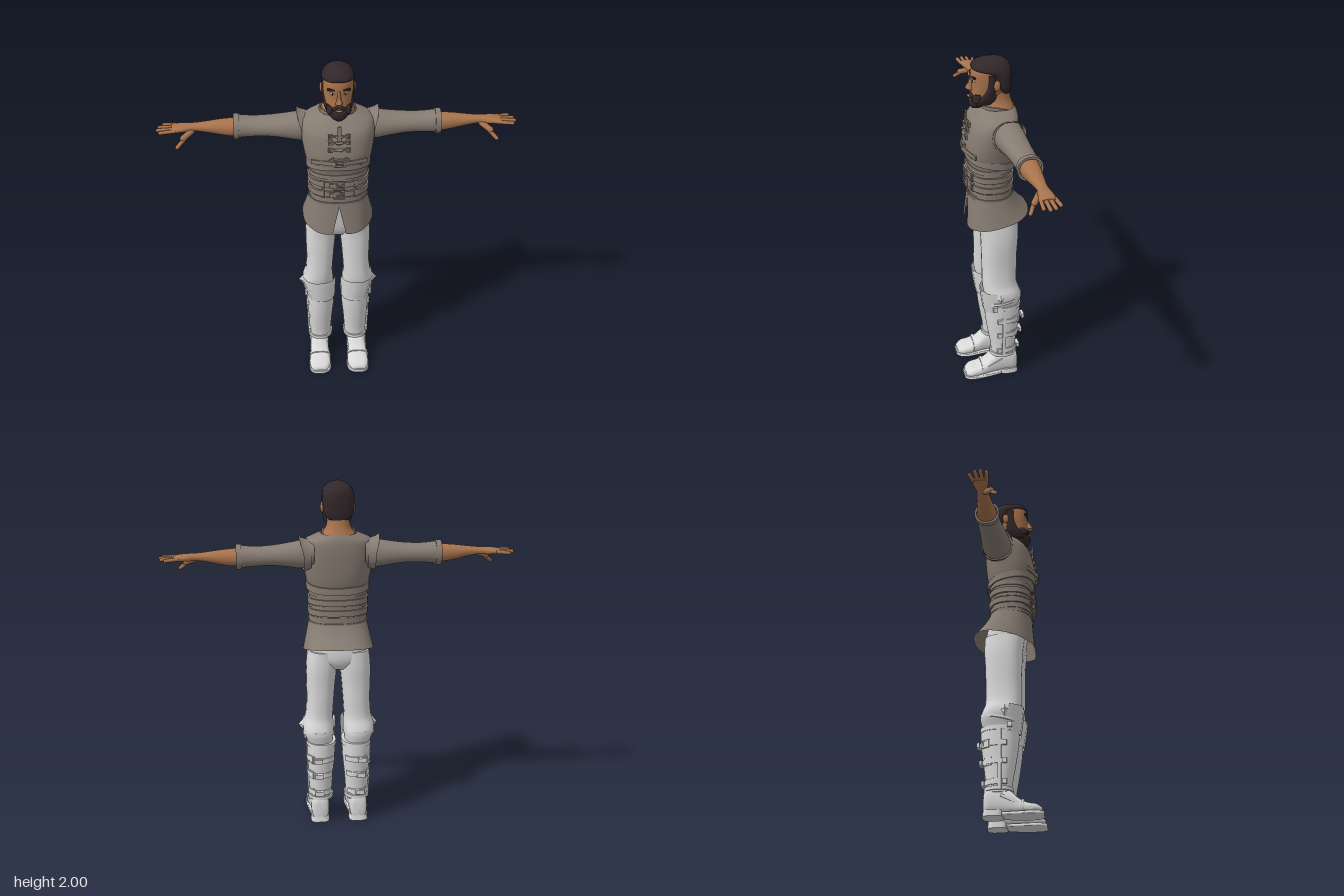
import * as THREE from 'three';
import { toCreasedNormals } from 'three/addons/utils/BufferGeometryUtils.js';

const mat = (name, color, side = THREE.FrontSide) => {
  const m = new THREE.MeshStandardMaterial({ color, side });
  m.name = name;
  return m;
};

// Smooths a list of number rows by Catmull-Rom, k steps per span
function refine(rows, k) {
  if (k < 2) return rows;
  const out = [], at = i => rows[Math.min(rows.length - 1, Math.max(0, i))];
  for (let i = 0; i < rows.length - 1; i++) for (let s = 0; s < k; s++) {
    const t = s / k;
    out.push(at(i).map((b, c) => {
      const a = at(i - 1)[c], d = at(i + 1)[c], e = at(i + 2)[c];
      return b + 0.5 * t * (d - a + t * (2 * a - 5 * b + 4 * d - e + t * (3 * (b - d) + e - a)));
    }));
  }
  out.push(rows.at(-1));
  return out;
}

// Surface through superellipse rings [t, a0, a1, b0, b1]; axis y: a=x b=z, axis x: a=y b=z, axis z: a=x b=y
function loft(axis, rows, { p = 2.2, n = 28, k = 3, cap = true, arc = null, move = null } = {}) {
  const rings = refine(rows, k), pos = [], idx = [], m = arc ? n + 1 : n;
  const put = (t, a, b) => {
    const v = axis === 'y' ? [a, t, b] : axis === 'x' ? [t, a, b] : [a, b, t];
    pos.push(...(move ? move(...v) : v));
  };
  const sp = c => Math.sign(c) * Math.abs(c) ** (2 / p);
  for (const [t, a0, a1, b0, b1] of rings) for (let j = 0; j < m; j++) {
    const th = arc ? arc[0] + (arc[1] - arc[0]) * j / n : j / n * Math.PI * 2;
    put(t, (a0 + a1) / 2 + (a1 - a0) / 2 * sp(Math.cos(th)), (b0 + b1) / 2 + (b1 - b0) / 2 * sp(Math.sin(th)));
  }
  const tri = (a, b, c) => axis === 'y' ? idx.push(a, c, b) : idx.push(a, b, c);
  for (let i = 0; i < rings.length - 1; i++) for (let j = 0; j < n; j++) {
    const a = i * m + j, b = i * m + (j + 1) % m;
    tri(a, b, b + m);
    tri(a, b + m, a + m);
  }
  if (cap && !arc) [0, rings.length - 1].forEach((i, e) => {
    const [t, a0, a1, b0, b1] = rings[i], c = pos.length / 3;
    put(t, (a0 + a1) / 2, (b0 + b1) / 2);
    for (let j = 0; j < n; j++) {
      const a = i * m + j, b = i * m + (j + 1) % m;
      e ? tri(a, b, c) : tri(b, a, c);
    }
  });
  const g = new THREE.BufferGeometry();
  g.setAttribute('position', new THREE.Float32BufferAttribute(pos, 3));
  g.setIndex(idx);
  return toCreasedNormals(g, 0.9);
}

// Symmetric rings [y, half width, back z, front z]
const sym = rows => rows.map(([y, x, z0, z1]) => [y, -x, x, z0, z1]);
// Strap with thickness around one ring
const strap = (y0, y1, [x0, x1, z0, z1], o, opt) => loft('y', [[y0, 0], [y0, o], [y1, o], [y1, 0]]
  .map(([y, d]) => [y, x0 - d, x1 + d, z0 - d, z1 + d]), { k: 1, cap: false, ...opt });
const box = (w, h, d, x, y, z, rz = 0) => new THREE.BoxGeometry(w, h, d).rotateZ(rz).translate(x, y, z);
const ball = (rx, ry, rz, x, y, z) => new THREE.SphereGeometry(1, 16, 12).scale(rx, ry, rz).translate(x, y, z);
// Rounded finger between two points
function finger(a, b, r) {
  const A = new THREE.Vector3(...a), d = new THREE.Vector3(...b).sub(A);
  const q = new THREE.Quaternion().setFromUnitVectors(new THREE.Vector3(0, 1, 0), d.clone().normalize());
  const mid = A.addScaledVector(d, 0.5);
  return new THREE.CapsuleGeometry(r, d.length() - 2 * r, 4, 10).applyQuaternion(q).translate(mid.x, mid.y, mid.z);
}
// Square buckle frame facing +z
function frame(w, h, t = 0.008, d = 0.012) {
  const rect = (o, a, b) => { o.moveTo(-a, -b); o.lineTo(a, -b); o.lineTo(a, b); o.lineTo(-a, b); o.closePath(); return o; };
  const s = rect(new THREE.Shape(), w / 2, h / 2);
  s.holes.push(rect(new THREE.Path(), w / 2 - t, h / 2 - t));
  return new THREE.ExtrudeGeometry(s, { depth: d, bevelEnabled: false });
}
function mirrored(geo) {
  const g = geo.index ? geo.toNonIndexed() : geo.clone();
  g.scale(-1, 1, 1);
  for (const at of Object.values(g.attributes)) {
    const s = at.itemSize, A = at.array;
    for (let i = 0; i < at.count; i += 3) for (let c = 0; c < s; c++) {
      const u = (i + 1) * s + c, v = (i + 2) * s + c;
      [A[u], A[v]] = [A[v], A[u]];
    }
  }
  return g;
}

export function createModel() {
  const root = new THREE.Group();
  root.name = 'man';
  const skin = mat('skin', 0xa8734c), hair = mat('hair', 0x32272a), white = mat('eyeWhite', 0xdfe4ea);
  const cloth = mat('tunic', 0x877c72, THREE.DoubleSide), pale = mat('trousersAndBoots', 0xd9d9d9, THREE.DoubleSide);
  const add = (name, geo, m) => {
    const mesh = new THREE.Mesh(geo, m);
    mesh.name = name;
    root.add(mesh);
  };
  const pair = (name, geo, m) => {
    add(name + 'Left', geo, m);
    add(name + 'Right', mirrored(geo), m);
  };

  // Head and neck
  add('neck', loft('y', sym([[1.66, .12, -.125, .07], [1.71, .1, -.118, .06], [1.75, .07, -.103, .05], [1.8, .06, -.09, .045], [1.85, .058, -.08, .04]])), skin);
  add('head', loft('y', sym([[1.735, .03, .05, .112], [1.755, .052, 0, .118], [1.785, .066, -.04, .12], [1.82, .074, -.07, .117],
    [1.86, .08, -.085, .115], [1.9, .081, -.09, .117], [1.94, .079, -.09, .112], [1.97, .06, -.07, .09], [1.985, .03, -.04, .06]]), { p: 2.3 }), skin);
  add('nose', loft('y', [[1.82, -.014, .014, .1, .126], [1.826, -.02, .02, .1, .143], [1.838, -.015, .015, .1, .147], [1.865, -.009, .009, .1, .131], [1.895, -.01, .01, .1, .118]], { n: 12 }), skin);
  add('lips', ball(.02, .006, .008, 0, 1.785, .13), skin);
  pair('ear', ball(.012, .03, .018, .086, 1.86, -.008), skin);
  pair('eye', ball(.015, .006, .008, .034, 1.88, .107), white);
  pair('iris', ball(.006, .006, .003, .034, 1.88, .114), hair);
  pair('eyebrow', box(.04, .009, .012, .036, 1.902, .111, .12).rotateY(.05), hair);

  // Hair and beard
  add('hair', loft('y', sym([[1.8, .055, -.09, -.04], [1.83, .08, -.096, -.015], [1.88, .087, -.1, .015], [1.92, .088, -.1, .05],
    [1.94, .087, -.099, .108], [1.955, .081, -.094, .116], [1.975, .066, -.077, .1], [1.99, .042, -.05, .07], [2, .012, -.015, .03]]), { p: 2.4 }), hair);
  add('beard', loft('y', sym([[1.715, .018, .07, .112], [1.73, .04, .045, .126], [1.752, .058, .01, .131], [1.772, .069, -.01, .128], [1.78, .069, -.01, .12]])), hair);
  pair('jawBeard', loft('y', [[1.745, .035, .06, .01, .1], [1.78, .045, .076, -.008, .085], [1.81, .05, .082, -.006, .06], [1.85, .055, .087, -.002, .042], [1.92, .06, .088, -.005, .038]], { n: 16 }), hair);
  pair('cheekBeard', loft('y', [[1.765, .025, .066, .06, .12], [1.79, .026, .066, .06, .118], [1.808, .035, .064, .06, .105]], { n: 14 }), hair);
  pair('moustache', finger([.002, 1.806, .124], [.038, 1.788, .112], .0095), hair);

  // Tunic body, skirt and collar
  add('tunicBody', loft('y', sym([[1.18, .163, -.105, .135], [1.3, .16, -.1, .138], [1.4, .163, -.105, .14], [1.44, .175, -.115, .152], [1.5, .187, -.125, .162],
    [1.58, .199, -.132, .15], [1.64, .2, -.134, .132], [1.68, .188, -.132, .1], [1.705, .14, -.126, .08], [1.722, .1, -.118, .065]]), { p: 2.4, n: 40, cap: false }), cloth);
  add('collar', strap(1.705, 1.737, [-.085, .085, -.115, .058], .008, { move: (x, y, z) => [x, y + (z < 0 ? z * .25 : 0), z] }), cloth);
  add('vestHem', strap(1.405, 1.445, [-.173, .173, -.115, .15], .006, { p: 2.4, n: 40, move: (x, y, z) => [x, y + z * .18, z] }), cloth);
  const skirt = [], steps = 6;
  for (let i = 0; i <= steps; i++) {
    const v = i / steps;
    skirt.push([v, -.165 - .035 * v, .165 + .035 * v, -.107 - .093 * v ** 1.2, .138 + .017 * v]);
  }
  add('skirt', loft('y', skirt, {
    k: 1, n: 48, p: 2.4, arc: [Math.PI / 2 + .0001, Math.PI * 2.5 - .0001],
    move: (x, v, z) => {
      const hem = 1.05 - (z > 0 ? z * .26 : z * .2);
      const slit = Math.max(0, v - .15) * .045 * Math.max(0, 1 - Math.abs(x) / .15) * (z > 0 ? 1 : 0);
      return [x + Math.sign(x) * slit, 1.21 + (hem - 1.21) * v, z];
    },
  }).scale(1, 1, 1), cloth);

  // Girdle bands, belts and buckles
  const waist = [-.161, .161, -.103, .139], round = { p: 2.4, n: 40 };
  for (const [y0, y1, o] of [[1.2, 1.215, .006], [1.225, 1.25, .003], [1.258, 1.292, .01], [1.3, 1.315, .003], [1.32, 1.352, .01], [1.37, 1.395, .006]])
    add('girdleBand', strap(y0, y1, waist, o, round), cloth);
  for (const [y, z] of [[1.275, .149], [1.336, .149], [1.487, .16]]) {
    add('buckle', frame(.062, .05).translate(0, y, z), cloth);
    add('bucklePin', box(.04, .008, .012, .005, y, z + .01), cloth);
    if (y < 1.4) {
      pair('beltLoop', frame(.018, .046, .005).rotateY(.3).translate(.088, y, .128), cloth);
      add('beltEnd', box(.07, .026, .01, -.02, y, z + .004), cloth);
    }
  }
  pair('chestStrap', box(.14, .024, .01, 0, 0, 0, -.06).rotateY(.35).translate(.085, 1.485, .151), cloth);
  pair('chestSeam', finger([.03, 1.52, .16], [.12, 1.465, .142], .004), cloth);
  // Front placket with toggles
  add('placket', box(.022, .2, .01, 0, 1.6, .146).rotateX(0), cloth);
  for (const [y, z] of [[1.565, .156], [1.605, .148], [1.638, .14]]) {
    add('toggleCord', box(.1, .009, .01, 0, y, z), cloth);
    pair('toggleEnd', frame(.024, .024, .006).translate(.048, y, z - .006), cloth);
    add('toggle', finger([-.02, y, z + .006], [.02, y, z + .006], .007), cloth);
  }

  // Sleeves, shoulder caps and cuffs
  pair('sleeve', loft('x', [[.14, 1.55, 1.69, -.125, .03], [.2, 1.53, 1.686, -.13, .035], [.27, 1.54, 1.674, -.13, .028], [.36, 1.552, 1.662, -.127, .015],
    [.45, 1.552, 1.658, -.125, .005], [.52, 1.546, 1.664, -.125, .002], [.555, 1.54, 1.67, -.127, .002]], { cap: false }), cloth);
  pair('cuff', loft('x', [[.535, 1.543, 1.667, -.124, .001], [.535, 1.536, 1.673, -.13, .007], [.565, 1.536, 1.673, -.13, .007], [.565, 1.548, 1.661, -.118, -.005]], { k: 1, cap: false }), cloth);
  pair('shoulderCap', loft('x', [[.165, 1.53, 1.69, -.134, .04], [.195, 1.515, 1.7, -.138, .045], [.208, 1.515, 1.712, -.14, .045]],
    { cap: false, move: (x, y, z) => [x + Math.max(0, y - 1.62) * .28 - .01, y, z] }), cloth);

  // Forearms and hands
  pair('forearm', loft('x', [[.5, 1.555, 1.655, -.115, -.01], [.57, 1.553, 1.65, -.113, -.008], [.64, 1.562, 1.645, -.105, -.018], [.72, 1.58, 1.635, -.095, -.026],
    [.78, 1.588, 1.629, -.09, -.032], [.83, 1.586, 1.627, -.098, -.022], [.87, 1.588, 1.622, -.103, -.014], [.9, 1.592, 1.616, -.1, -.014]]), skin);
  [[-.094, -.107, .955], [-.07, -.075, .978], [-.046, -.045, .985], [-.023, -.014, .97]].forEach(([z0, z1, x]) =>
    pair('finger', finger([.87, 1.605, z0], [x, 1.6, z1], .0105), skin));
  pair('thumbBase', finger([.78, 1.598, -.05], [.85, 1.562, .005], .017), skin);
  pair('thumbTip', finger([.825, 1.57, -.008], [.878, 1.523, .028], .011), skin);

  // Trousers
  add('hips', loft('y', sym([[.94, .07, -.09, .06], [.99, .15, -.125, .088], [1.08, .17, -.125, .105], [1.2, .155, -.1, .125]]), { p: 2.5 }), pale);
  pair('trouserLeg', loft('y', [[.46, .035, .175, -.12, .06], [.5, .035, .185, -.13, .065], [.555, .028, .205, -.142, .07], [.6, .028, .205, -.13, .08], [.65, .032, .19, -.115, .085],
    [.75, .026, .183, -.116, .085], [.85, .018, .185, -.118, .087], [.95, .008, .185, -.125, .089], [1.05, .004, .175, -.125, .1]], { p: 2.4 }), pale);
  pair('kneeFold', strap(.53, .545, [.036, .198, -.132, .06], .01, { move: (x, y, z) => [x, y - z * .2, z] }), pale);

  // Boots, knee guards and straps
  const shaft = [[.13, .045, .17, -.112, .03], [.2, .04, .173, -.113, .035], [.3, .032, .178, -.125, .052], [.4, .022, .182, -.138, .066], [.5, .02, .184, -.14, .074]];
  pair('bootShaft', loft('y', shaft), pale);
  pair('shaftHem', strap(.14, .16, [.042, .172, -.112, .033], .008), pale);
  pair('shaftTopBand', strap(.475, .5, [.02, .184, -.14, .072], .004), pale);
  pair('kneeGuard', loft('y', [[.46, .018, .178, -.1, .08], [.54, .015, .195, -.1, .092], [.615, .012, .208, -.1, .1]], { k: 2, n: 5, arc: [.2, Math.PI - .2] }), pale);
  pair('kneeWing', new THREE.ConeGeometry(.06, .05, 4).rotateZ(-Math.PI / 2).scale(1, 1, .6).translate(.207, .58, .0), pale);
  pair('kneeStud', box(.014, .03, .026, .19, .5, .025), pale);
  pair('sideSeam', box(.012, .34, .02, .179, .31, -.03, -.025), pale);
  [[.4, .022, .182, -.138, .066], [.3, .032, .178, -.125, .052], [.185, .041, .173, -.113, .033]].forEach(([y, x0, x1, z0, z1]) => {
    pair('bootStrap', strap(y - .015, y + .015, [x0, x1, z0, z1], .006, { arc: [-Math.PI * .8, Math.PI * .05] }), pale);
    pair('bootBuckle', frame(.045, .045).rotateY(Math.PI / 2 + .5).translate(x1 - .022, y, z0 + .035), pale);
    pair('strapEnd', box(.05, .026, .016, x1 - .055, y, z0 - .012), pale);
    pair('bootStud', box(.014, .028, .026, x1, y, -.004), pale);
  });
  pair('foot', loft('z', [[-.122, .08, .14, .01, .12], [-.105, .062, .162, .01, .16], [-.03, .058, .165, .01, .165], [.03, .06, .168, .01, .14], [.07, .057, .172, .01, .1],
    [.12, .052, .177, .01, .074], [.165, .056, .176, .01, .064], [.195, .08, .158, .012, .042]], { p: 2.7 }), pale);
  pair('sole', loft('z', [[-.02, .06, .165, .004, .022], [.05, .055, .174, 0, .022], [.13, .047, .182, 0, .022], [.18, .058, .175, 0, .022], [.203, .085, .155, .002, .022]], { p: 6 }), pale);
  pair('heel', loft('y', [[0, .058, .168, -.127, -.015], [.034, .06, .166, -.122, -.012]], { p: 3.5, k: 1 }), pale);
  pair('toeSeam', loft('z', [[.085, .052, .178, .012, .097], [.1, .049, .18, .012, .09]], { p: 2.7, k: 1 }), pale);
  pair('ankleStrap', box(.012, .016, .1, 0, 0, 0).rotateX(.45).translate(.165, .09, .02), pale);
  return root;
}
